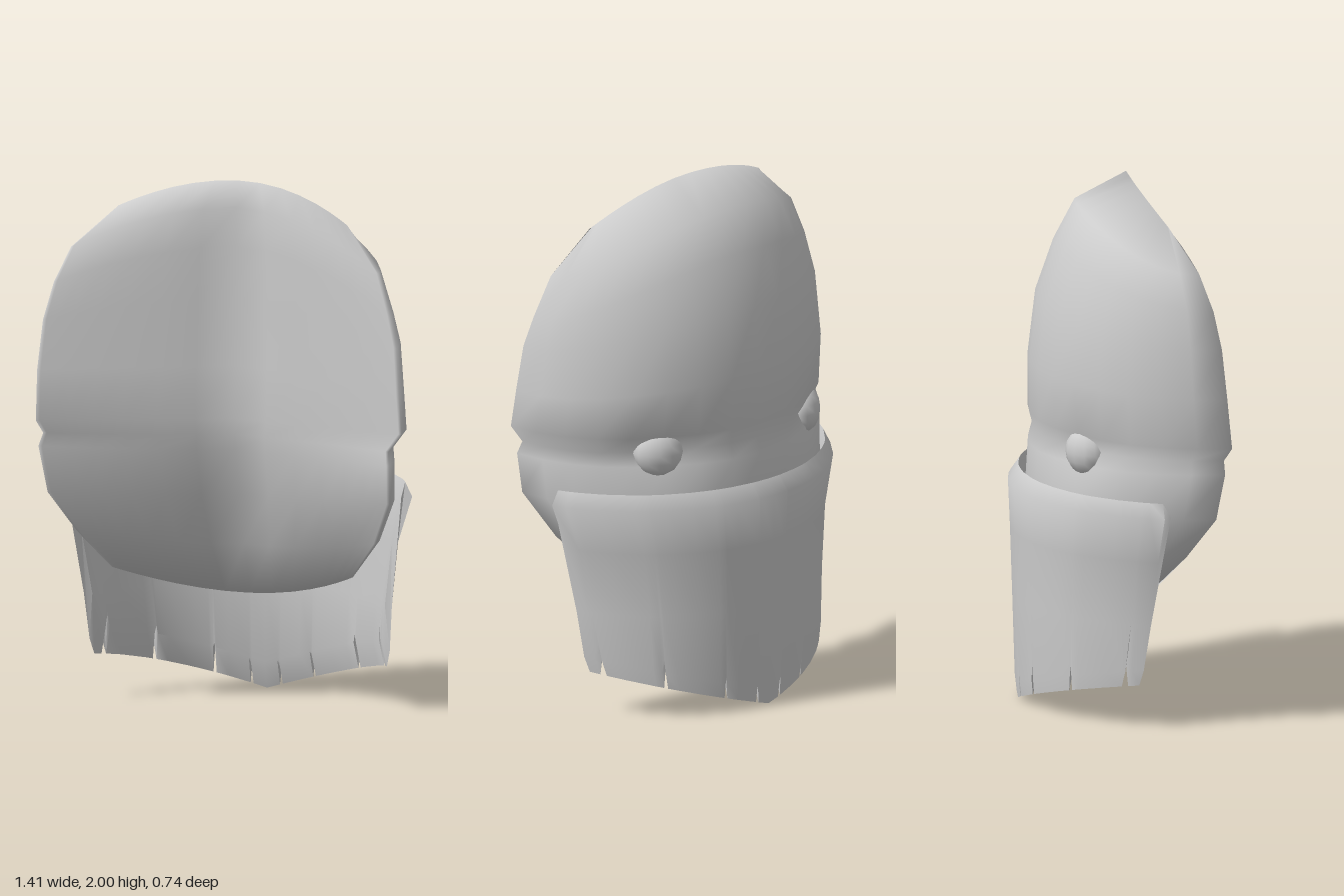
import * as THREE from 'three';
import { toCreasedNormals } from 'three/addons/utils/BufferGeometryUtils.js';

const lerp = THREE.MathUtils.lerp;
const EYE = { x: 0.38, y: 1.03, z: -0.138 };

// Skin a list of cross-section loops; optionally cap both ends by pairing opposite loop points.
function skin(loops, capped, crease) {
  const n = loops[0].length, index = [];
  for (let i = 0; i < loops.length - 1; i++) {
    for (let j = 0; j < n; j++) {
      const a = i * n + j, b = i * n + (j + 1) % n;
      index.push(a, a + n, b, b, a + n, b + n);
    }
  }
  if (capped) {
    const last = (loops.length - 1) * n;
    for (let k = 0; k < n / 2 - 1; k++) {
      const m = n - 1 - k;
      index.push(last + k, last + m, last + k + 1, last + k + 1, last + m, last + m - 1);
      index.push(k, k + 1, m, k + 1, m - 1, m);
    }
  }
  const geo = new THREE.BufferGeometry();
  geo.setAttribute('position', new THREE.Float32BufferAttribute(loops.flat(2), 3));
  geo.setIndex(index);
  return toCreasedNormals(geo, crease);
}

// Head: domed towards the back, hollowed in a soft V at the front, slightly lopsided.
function headGeometry() {
  // centre y, front z, back z, then rim x, y, z on the -x side and on the +x side
  const rows = [
    [2.00, 0.080, 0.080, [0.440, 1.90, 0.165], [0.450, 1.86, 0.160]],
    [1.90, 0.095, -0.120, [0.600, 1.75, 0.260], [0.590, 1.69, 0.225]],
    [1.75, 0.100, -0.200, [0.655, 1.62, 0.305], [0.645, 1.53, 0.262]],
    [1.55, 0.110, -0.270, [0.690, 1.48, 0.332], [0.675, 1.42, 0.285]],
    [1.30, 0.120, -0.300, [0.708, 1.29, 0.350], [0.692, 1.24, 0.308]],
    [1.10, 0.130, -0.300, [0.708, 1.10, 0.368], [0.705, 1.10, 0.322]],
    [1.04, 0.122, -0.285, [0.687, 1.05, 0.340], [0.652, 1.03, 0.315]],
    [0.98, 0.110, -0.300, [0.705, 1.00, 0.342], [0.660, 0.98, 0.335]],
    [0.80, 0.050, -0.310, [0.677, 0.82, 0.312], [0.655, 0.83, 0.312]],
    [0.60, -0.020, -0.280, [0.590, 0.66, 0.212], [0.575, 0.66, 0.212]],
    [0.40, -0.100, -0.100, [0.485, 0.51, 0.100], [0.455, 0.51, 0.100]],
  ];
  const steps = 16;
  const loops = rows.map(([y, front, back, minus, plus], r) => {
    const edge = r === 0 || r === rows.length - 1; // front and back meet here
    const at = (s, isBack) => {
      const t = Math.sin(s * Math.PI / 2);
      const [w, rimY, rimZ] = t < 0 ? minus : plus;
      const x = w * t, py = lerp(y, rimY, t * t);
      if (edge || !isBack) return [x, py, lerp(front, rimZ, Math.pow(Math.abs(t), edge ? 2 : 0.9))];
      // shallow eye sockets pressed into the dome
      const dx = (Math.abs(x) - EYE.x) / 0.13, dy = (py - EYE.y) / 0.07;
      const socket = 0.045 * Math.exp(-dx * dx - dy * dy);
      return [x, py, lerp(rimZ, back, Math.sqrt(1 - t * t)) + socket];
    };
    const loop = [];
    for (let i = 0; i <= steps; i++) loop.push(at(-1 + 2 * i / steps, false));
    for (let i = 1; i < steps; i++) loop.push(at(1 - 2 * i / steps, true));
    return loop;
  });
  return skin(loops, false, Math.PI);
}

// Neck cloth: a thick band bent around the back, with a pointed hem and narrow tears.
function clothGeometry() {
  // end x, end z, centre z, y, height above the hem (used when y is null)
  const profile = [
    [0.690, 0.115, -0.375, 0.83],
    [0.630, 0.098, -0.368, 0.65],
    [0.600, 0.075, -0.360, 0.40],
    [0.585, 0.050, -0.350, null, 0.06],
    [0.570, 0.035, -0.343, null, 0],
    [0.552, 0.040, -0.310, null, 0.10],
    [0.570, 0.065, -0.320, 0.40],
    [0.605, 0.095, -0.325, 0.65],
    [0.655, 0.143, -0.325, 0.83],
    [0.662, 0.112, -0.335, 0.885],
  ];
  const tears = [[-0.96, 0.13], [-0.7, 0.1], [-0.34, 0.09], [-0.1, 0.06],
    [0.1, 0.05], [0.34, 0.07], [0.7, 0.1], [0.96, 0.13]];
  const stations = [];
  for (let i = -8; i <= 8; i++) {
    const t = i / 8;
    if (tears.every(([c]) => Math.abs(c - t) > 0.03)) stations.push([t, 0]);
  }
  for (const [c, rise] of tears) stations.push([c - 0.01, 0], [c, rise], [c + 0.01, 0]);
  stations.sort((a, b) => a[0] - b[0]);

  const half = THREE.MathUtils.degToRad(70);
  const loops = stations.map(([t, rise]) => {
    const angle = Math.asin(t * Math.sin(half));
    const bend = (1 - Math.cos(angle)) / (1 - Math.cos(half));
    const hem = 0.165 * Math.abs(t);
    return profile.map(([x, endZ, midZ, y, above]) => [
      x * t,
      y ?? hem + Math.max(above, rise + above * 0.3),
      lerp(midZ, endZ, bend),
    ]);
  });
  return skin(loops, true, 0.9);
}

export function createModel() {
  const model = new THREE.Group();
  model.name = 'maskedHead';
  const grey = new THREE.MeshStandardMaterial({ color: 0xcccccc, side: THREE.DoubleSide });
  grey.name = 'lightGrey';

  const add = (name, geometry) => {
    const mesh = new THREE.Mesh(geometry, grey);
    mesh.name = name;
    model.add(mesh);
    return mesh;
  };

  add('head', headGeometry());
  add('neckCloth', clothGeometry());

  // Eyes: flattened balls set into the sockets
  for (const side of [1, -1]) {
    const eye = add(side > 0 ? 'leftEye' : 'rightEye', new THREE.SphereGeometry(1, 12, 8));
    eye.scale.set(0.095, 0.09, 0.065);
    eye.position.set(EYE.x * side, EYE.y, EYE.z);
    eye.rotation.y = -0.61 * side;
  }
  return model;
}
